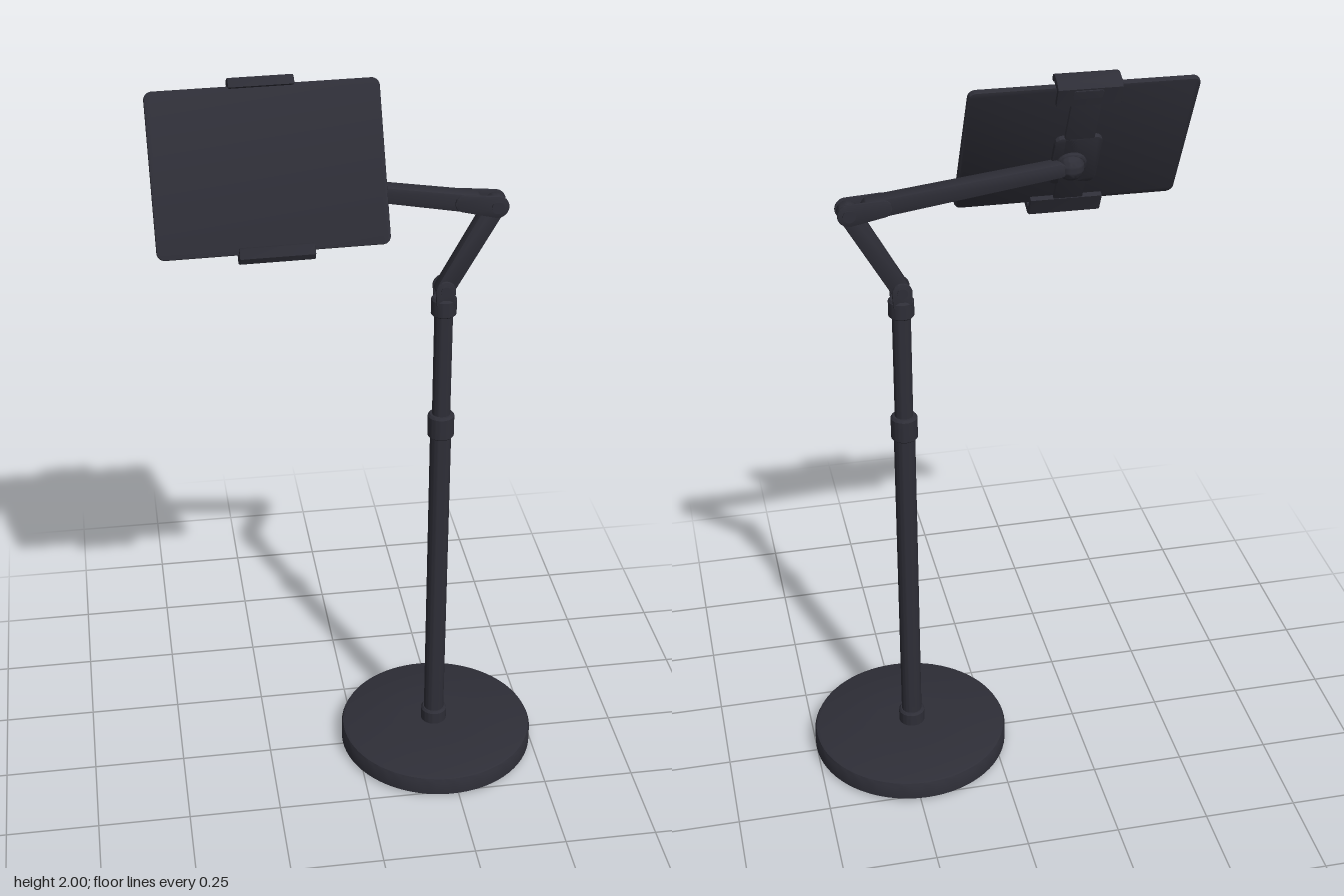
import * as THREE from 'three';
import { toCreasedNormals } from 'three/addons/utils/BufferGeometryUtils.js';

export function createModel() {
  const model = new THREE.Group();
  const dark = new THREE.MeshStandardMaterial({ color: 0x2e2e37 });
  dark.name = 'dark grey';

  const add = (parent, name, geometry, x = 0, y = 0, z = 0) => {
    const mesh = new THREE.Mesh(toCreasedNormals(geometry, 0.6), dark);
    mesh.name = name;
    mesh.position.set(x, y, z);
    parent.add(mesh);
    return mesh;
  };
  const lathe = (points, segments = 48) =>
    new THREE.LatheGeometry(points.map(p => new THREE.Vector2(p[0], p[1])), segments);

  // Extrusion centred on its depth, with a small inset bevel
  const slab = (shape, depth, bevel) => {
    const g = new THREE.ExtrudeGeometry(shape, {
      depth: depth - 2 * bevel, bevelThickness: bevel, bevelSize: bevel,
      bevelOffset: -bevel, bevelSegments: 2, curveSegments: 16,
    });
    return g.translate(0, 0, -(depth / 2 - bevel));
  };
  const roundedRect = (w, h, r) => {
    const s = new THREE.Shape();
    s.absarc(w / 2 - r, h / 2 - r, r, 0, Math.PI / 2);
    s.absarc(-w / 2 + r, h / 2 - r, r, Math.PI / 2, Math.PI);
    s.absarc(-w / 2 + r, -h / 2 + r, r, Math.PI, Math.PI * 1.5);
    s.absarc(w / 2 - r, -h / 2 + r, r, Math.PI * 1.5, Math.PI * 2);
    return s;
  };
  // Round-ended bar from point a to point b
  const link = (name, a, b, r1, r2, depth) => {
    const dir = b.clone().sub(a), length = dir.length();
    const s = new THREE.Shape();
    s.absarc(0, 0, r1, Math.PI / 2, Math.PI * 1.5);
    s.absarc(length, 0, r2, -Math.PI / 2, Math.PI / 2);
    s.closePath();
    const mesh = add(model, name, slab(s, depth, 0.004), a.x, a.y, a.z);
    // turn about y first, then lift, so that the flat sides stay upright
    const yaw = Math.atan2(-dir.z, dir.x);
    mesh.rotation.set(0, yaw, Math.asin(dir.y / length), 'YXZ');
    return mesh;
  };
  const pin = (name, p, r, depth) =>
    add(model, name, new THREE.CylinderGeometry(r, r, depth, 28).rotateX(Math.PI / 2), p.x, p.y, p.z);

  // Round weighted base
  add(model, 'base', lathe([[0, 0], [0.262, 0], [0.271, 0.008], [0.271, 0.05],
    [0.267, 0.058], [0.258, 0.062], [0.1, 0.068], [0, 0.07]], 72), 0.231, 0, 0);

  // Telescopic pole with its collars
  const px = 0.225;
  const collar = (name, y, h, r) => add(model, name, lathe([[0, 0], [r - 0.004, 0], [r, 0.004],
    [r, h - 0.006], [r - 0.005, h], [0, h]], 36), px, y, 0);
  collar('baseCollar', 0.062, 0.048, 0.036);
  add(model, 'lowerPole', new THREE.CylinderGeometry(0.028, 0.028, 0.95, 36), px, 0.56, 0);
  collar('lockCollar', 1.01, 0.068, 0.035);
  add(model, 'upperPole', new THREE.CylinderGeometry(0.024, 0.024, 0.34, 36), px, 1.23, 0);
  collar('topCollar', 1.368, 0.05, 0.033);

  // Folding arm
  const knee = new THREE.Vector3(px, 1.443, 0);
  const elbow = new THREE.Vector3(0.35, 1.665, 0);
  const wrist = new THREE.Vector3(-0.17, 1.742, -0.024);
  const along = t => elbow.clone().lerp(wrist, t);
  link('lowerArm', knee, elbow, 0.024, 0.026, 0.034);
  for (const side of [-1, 1]) {
    const dz = new THREE.Vector3(0, 0, side * 0.022);
    link('poleFork', new THREE.Vector3(px, 1.41, 0).add(dz), knee.clone().add(dz), 0.024, 0.026, 0.01);
    link('elbowFork', elbow.clone().add(dz), along(0.16).add(dz), 0.029, 0.023, 0.01);
  }
  link('upperArm', along(0.11), wrist, 0.024, 0.018, 0.044);
  pin('kneePin', knee, 0.014, 0.06);
  pin('elbowPin', elbow, 0.016, 0.06);

  // Ball joint behind the holder
  add(model, 'ballJoint', new THREE.SphereGeometry(0.034, 32, 20), -0.2, 1.742, -0.02);

  // Tilted tablet and its clamp
  const holder = new THREE.Group();
  holder.name = 'tabletHolder';
  holder.position.set(-0.215, 1.793, 0.005);
  holder.rotation.set(-0.43, 0, 0.014);
  model.add(holder);
  add(holder, 'tablet', slab(roundedRect(0.57, 0.402, 0.02), 0.016, 0.004));
  add(holder, 'clampBar', slab(roundedRect(0.075, 0.42, 0.008), 0.012, 0.003), 0, 0, -0.026);
  add(holder, 'clampPlate', slab(roundedRect(0.12, 0.16, 0.02), 0.014, 0.003), 0, -0.03, -0.025);
  add(holder, 'socketRing', new THREE.TorusGeometry(0.032, 0.008, 12, 36), 0.012, -0.038, -0.036);
  add(holder, 'socketCup', new THREE.CylinderGeometry(0.036, 0.028, 0.016, 32)
    .rotateX(Math.PI / 2), 0.012, -0.038, -0.034);

  // Hooked jaws: side profile swept across the width
  const jaw = (name, profile, width, x) => {
    const s = new THREE.Shape(profile.map(p => new THREE.Vector2(p[0], p[1])));
    add(holder, name, slab(s, width, 0.003).rotateY(-Math.PI / 2), x, 0, 0);
  };
  jaw('topJaw', [[-0.034, 0.165], [-0.02, 0.165], [-0.018, 0.203], [0.018, 0.203], [0.022, 0.194],
    [0.032, 0.196], [0.03, 0.211], [0.018, 0.22], [-0.012, 0.222], [-0.029, 0.214]], 0.16, -0.004);
  jaw('bottomJaw', [[-0.034, -0.165], [-0.034, -0.215], [-0.022, -0.224], [0.02, -0.223],
    [0.033, -0.212], [0.036, -0.186], [0.026, -0.184], [0.02, -0.203], [-0.018, -0.203],
    [-0.02, -0.165]], 0.185, 0.004);

  return model;
}
